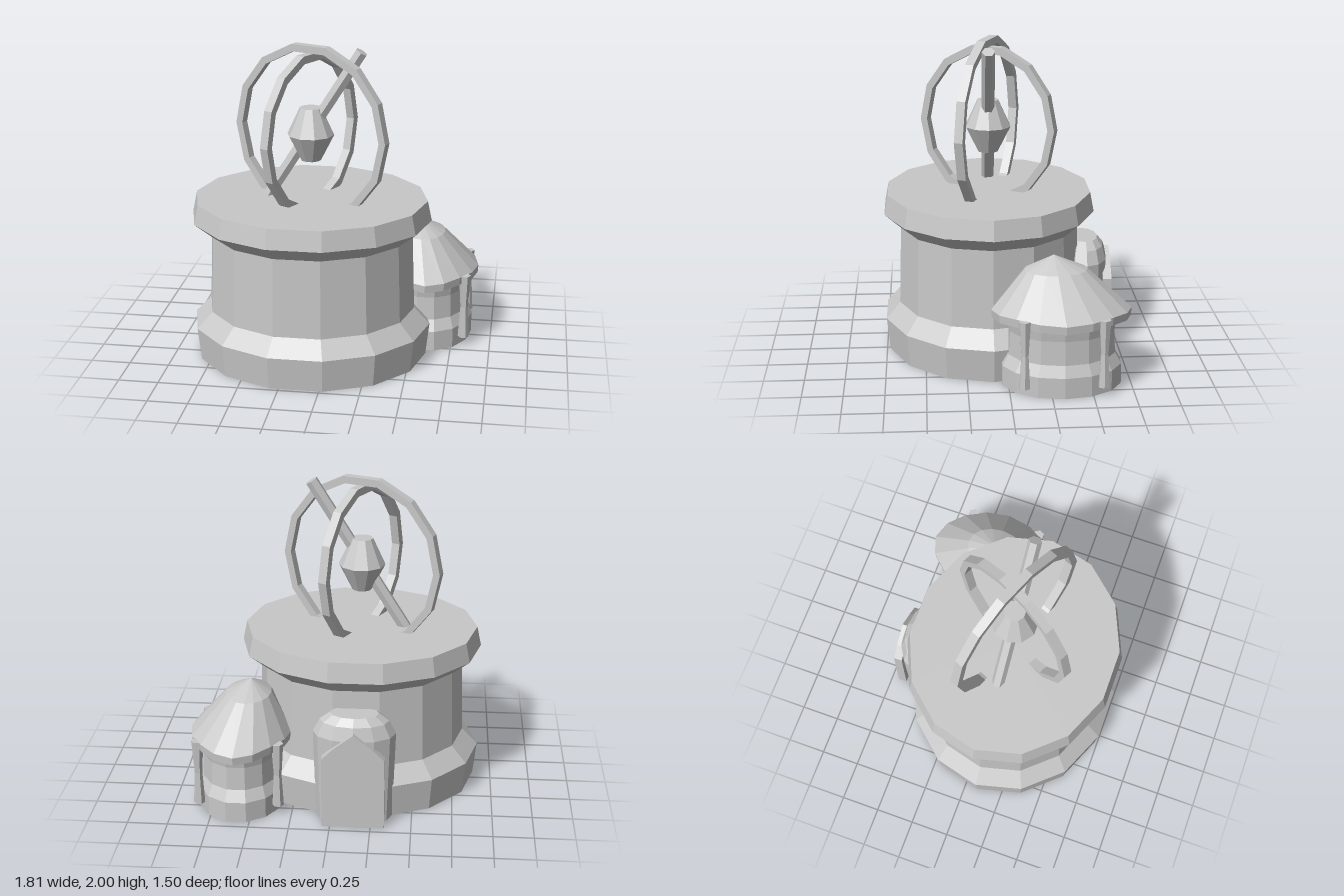
import * as THREE from 'three';

export function createModel() {
  const group = new THREE.Group();
  const stone = new THREE.MeshStandardMaterial({
    color: 0xc8c8c8, flatShading: true, side: THREE.DoubleSide,
  });
  stone.name = 'grey stone';

  const add = (name, geometry, x = 0, y = 0, z = 0, parent = group) => {
    const mesh = new THREE.Mesh(geometry, stone);
    mesh.name = name;
    mesh.position.set(x, y, z);
    parent.add(mesh);
    return mesh;
  };

  // Faceted turned shape: profile of [radius, y] from bottom to top, squashed to an oval
  const turned = (profile, sides, sx = 1, sz = 1) =>
    new THREE.LatheGeometry(profile.map(([r, y]) => new THREE.Vector2(r, y)), sides, Math.PI / 2)
      .scale(sx, 1, sz);

  // Hollow round tower, open underneath, with flared foot and overhanging platform
  const cx = -0.145, cz = 0.085;
  add('tower', turned([
    [0.97, 0], [1, 0.21], [0.868, 0.315], [0.845, 0.815], [1, 0.91], [0.965, 1.035], [0, 1.035],
  ], 14, 0.763, 0.682), cx, 0, cz);

  // Upright hoops, sunk into the platform
  const hoop = (name, rx, ry, angle) => {
    const t = 0.045, h = 0.028;
    const geometry = turned([[rx - t, -h], [rx, -h], [rx, h], [rx - t, h], [rx - t, -h]], 14);
    geometry.rotateX(Math.PI / 2).scale(1, ry / rx, 1).rotateY(angle);
    add(name, geometry, cx, 1.45, cz);
  };
  hoop('outerHoop', 0.538, 0.564, -0.386);
  hoop('innerHoop', 0.466, 0.513, 1.085);

  // Slanted rod through a faceted core
  const top = new THREE.Vector3(0.172, 1.97, 0.095);
  const foot = new THREE.Vector3(-0.45, 0.98, 0.075);
  const axis = top.clone().sub(foot);
  const mid = top.clone().add(foot).multiplyScalar(0.5);
  const rod = add('rod', new THREE.CylinderGeometry(0.041, 0.041, axis.length(), 6), mid.x, mid.y, mid.z);
  rod.quaternion.setFromUnitVectors(new THREE.Vector3(0, 1, 0), axis.normalize());
  add('core', turned([[0, 1.275], [0.064, 1.275], [0.147, 1.44], [0.068, 1.61], [0, 1.61]], 10),
    cx, 0, cz);

  // Rear porch with a rounded crown and a pointed door
  add('porch', turned([[0.95, 0], [1.02, 0.57], [0.85, 0.655], [0.6, 0.7], [0, 0.7]], 12, 0.25, 0.15),
    -0.14, 0, -0.535);
  const door = new THREE.Shape([
    [-0.192, 0], [0.192, 0], [0.192, 0.46], [0.12, 0.53], [0, 0.625], [-0.12, 0.53], [-0.192, 0.46],
  ].map(([x, y]) => new THREE.Vector2(x, y)));
  add('door', new THREE.ExtrudeGeometry(door, { depth: 0.055, bevelEnabled: false }), -0.142, 0, -0.702);

  // Side hut with an oval plan, open underneath
  const hut = new THREE.Group();
  hut.name = 'hut';
  hut.position.set(0.583, 0, -0.325);
  group.add(hut);
  add('hutWall', turned([
    [0.87, 0], [0.87, 0.13], [0.775, 0.2], [0.76, 0.35], [0.8, 0.45],
  ], 14, 0.328, 0.428), 0, 0, 0, hut);

  // Domed cone roof; its peak leans off centre and its eaves ripple, pinched above each post
  const roof = turned([[0.78, 0.44], [0.99, 0.425], [1, 0.475], [0.45, 0.71], [0, 0.795]], 16);
  const p = roof.attributes.position;
  for (let i = 0; i < p.count; i++) {
    const x = p.getX(i), y = p.getY(i), z = p.getZ(i);
    const lean = Math.max(0, (y - 0.475) / 0.32);
    const rim = Math.hypot(x, z) > 0.95 ? 1 : 0;
    const wave = (1 - Math.cos(4 * Math.atan2(z, x))) / 2;
    const pinch = 1 - 0.05 * rim * wave;
    p.setXYZ(i, 0.32 * x * pinch - 0.06 * lean, y + 0.015 * rim * (wave - 0.3), 0.428 * z * pinch + 0.045 * lean);
  }
  add('hutRoof', roof, 0, 0, 0, hut);

  // Pinched posts around the hut
  const post = turned([[0, 0.06], [0.036, 0.06], [0.024, 0.27], [0.038, 0.485], [0, 0.485]], 6);
  for (const x of [-0.25, 0.245]) {
    for (const z of [-0.235, 0.24]) add('hutPost', post, x, 0, z, hut);
  }

  return group;
}
